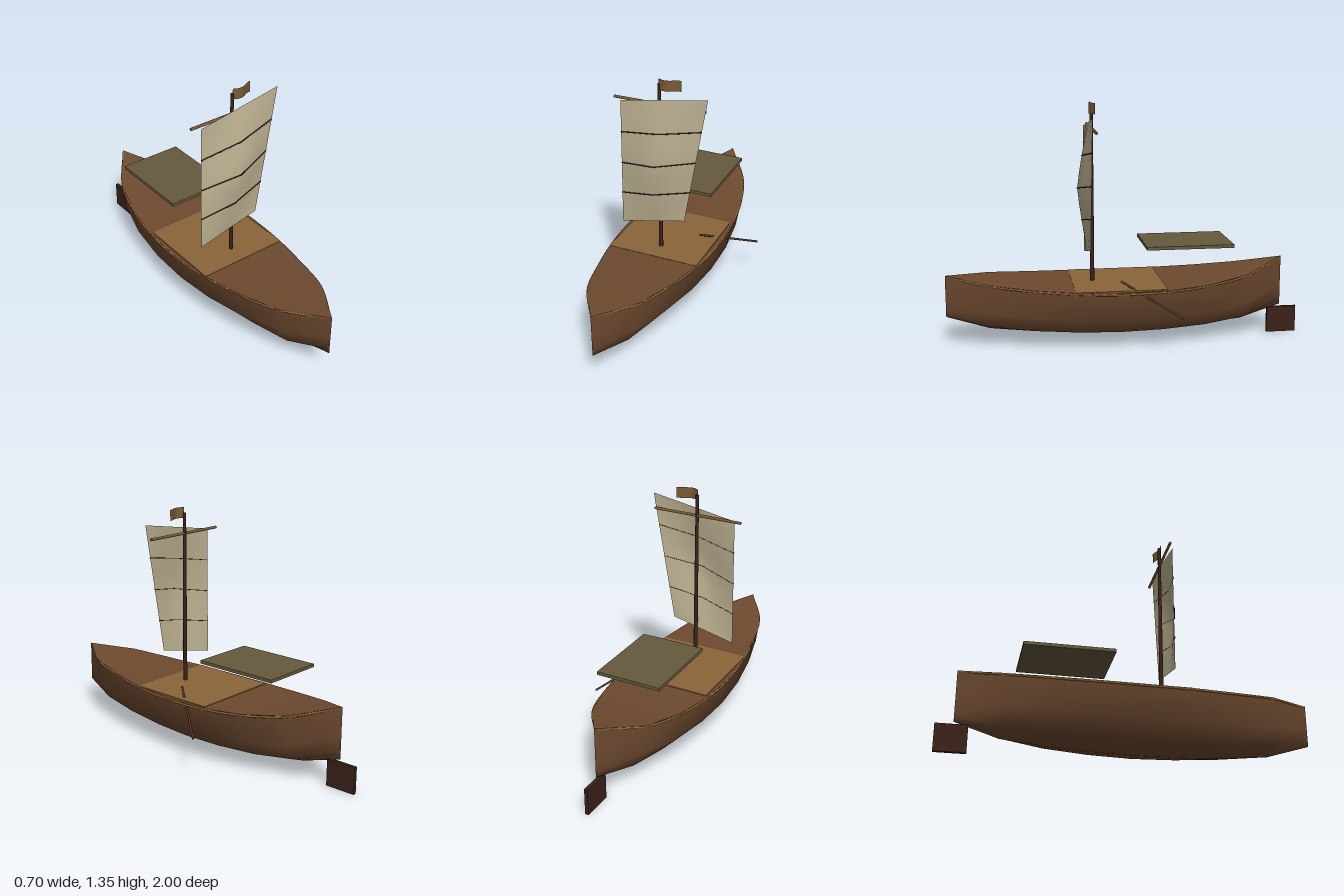
import * as THREE from 'three';

const mat = (color, side = THREE.FrontSide) => new THREE.MeshStandardMaterial({ color, side });
const V = (x, y, z) => new THREE.Vector3(x, y, z);

// Smooth grid surface from rows of points
function loft(rows) {
  const n = rows[0].length, index = [];
  for (let i = 0; i < rows.length - 1; i++) {
    for (let j = 0; j < n - 1; j++) {
      const a = i * n + j, b = a + n;
      index.push(a, b, a + 1, b, b + 1, a + 1);
    }
  }
  const g = new THREE.BufferGeometry().setFromPoints(rows.flat());
  g.setIndex(index);
  g.computeVertexNormals();
  return g;
}

// Round pole between two points
function pole(a, b, rBottom, rTop = rBottom, sides = 8) {
  const dir = b.clone().sub(a);
  const g = new THREE.CylinderGeometry(rTop, rBottom, dir.length(), sides);
  g.applyQuaternion(new THREE.Quaternion().setFromUnitVectors(V(0, 1, 0), dir.normalize()));
  const mid = a.clone().add(b).multiplyScalar(0.5);
  return g.translate(mid.x, mid.y, mid.z);
}

function box(w, h, d, x, y, z) {
  return new THREE.BoxGeometry(w, h, d).translate(x, y, z);
}

export function createModel() {
  const model = new THREE.Group();
  model.name = 'sailingBoat';
  const boat = new THREE.Group();
  boat.name = 'boat';
  boat.position.x = -0.065; // the oar reaches out to the left side
  model.add(boat);

  const add = (name, geometry, material, parent = boat) => {
    const mesh = new THREE.Mesh(geometry, material);
    mesh.name = name;
    parent.add(mesh);
    return mesh;
  };

  const hullMat = mat(0x6e4a30, THREE.DoubleSide);
  const plankMat = mat(0x8b6539);
  const darkMat = mat(0x3a2219);
  const sailMat = mat(0xbfb393, THREE.DoubleSide);
  const roofMat = mat(0x665a3e);
  const flagMat = mat(0x7a5c34, THREE.DoubleSide);

  // Hull stations from bow to stern: z, half width, rim height, keel height
  const stations = [
    [1.0, 0.0, 0.4, 0.165], [0.76, 0.153, 0.375, 0.09],
    [0.52, 0.22, 0.355, 0.065], [0.28, 0.265, 0.343, 0.053],
    [0.045, 0.283, 0.337, 0.048], [-0.195, 0.275, 0.341, 0.053],
    [-0.435, 0.238, 0.356, 0.065], [-0.672, 0.162, 0.387, 0.09],
    [-0.905, 0.0, 0.45, 0.165],
  ];
  // Cross-section: fraction of half width, fraction of height
  const half = [[1, 1], [0.87, 0.425], [0.51, 0.11]];
  const section = [...half, [0, 0], ...half.map(([x, y]) => [-x, y]).reverse()];
  add('hull', loft(stations.map(([z, w, top, keel]) =>
    section.map(([x, y]) => V(x * w, keel + y * (top - keel), z)))), hullMat);

  // Closed deck at rim height
  add('deck', loft(stations.map(([z, w, top]) =>
    [V(-w, top, z), V(0, top, z), V(w, top, z)])), hullMat);
  add('deckPlanks', box(0.52, 0.02, 0.5, 0, 0.336, 0.05), plankMat);

  // Slim rails following the rim
  for (const s of [-1, 1]) {
    const rim = new THREE.CatmullRomCurve3(stations.map(([z, w, top]) => V(s * w * 0.99, top - 0.007, z * 0.99)));
    add(s > 0 ? 'leftRail' : 'rightRail', new THREE.TubeGeometry(rim, 40, 0.006, 6), plankMat);
  }

  // Rudder below the stern
  add('rudder', box(0.02, 0.15, 0.17, 0, 0.075, -0.915), darkMat);

  // Flat roof over the aft deck
  add('roof', box(0.365, 0.018, 0.488, -0.003, 0.556, -0.342), roofMat);

  // Mast and yard
  add('mast', pole(V(0, 0.3, 0.185), V(0, 1.315, 0.185), 0.012, 0.009, 10), darkMat);
  add('yard', pole(V(-0.26, 1.2, 0.185), V(0.26, 1.2, 0.185), 0.008), flagMat);

  // Four-cornered sail, bulging forwards towards its middle
  const corners = { bl: V(-0.22, 0.465, 0), br: V(0.15, 0.548, 0), tl: V(-0.213, 1.195, 0), tr: V(0.28, 1.278, 0) };
  const sailPoint = (u, v, lift = 0) => {
    const p = corners.bl.clone().lerp(corners.br, u).lerp(corners.tl.clone().lerp(corners.tr, u), v);
    const bulge = (1 - Math.abs(2 * u - 1)) * (1 - Math.pow(Math.abs(2 * v - 1), 1.2));
    p.z = 0.208 + 0.057 * bulge + lift;
    return p;
  };
  const rows = [];
  for (let i = 0; i <= 8; i++) {
    rows.push([0, 0.25, 0.5, 0.75, 1].map(u => sailPoint(u, 1 - i / 8)));
  }
  add('sail', loft(rows), sailMat);

  // Battens across the sail
  const battens = new THREE.Group();
  battens.name = 'battens';
  boat.add(battens);
  for (const v of [0.25, 0.5, 0.75]) {
    for (const u of [0, 0.5]) {
      add('batten', pole(sailPoint(u, v, 0.002), sailPoint(u + 0.5, v, 0.002), 0.003, 0.003, 6), darkMat, battens);
    }
  }

  // Waving flag at the masthead
  const flag = new THREE.PlaneGeometry(0.122, 0.06, 10, 1).translate(0.061, 1.315, 0.19);
  const p = flag.attributes.position;
  for (let i = 0; i < p.count; i++) {
    p.setZ(i, p.getZ(i) + 0.014 * Math.sin(p.getX(i) / 0.122 * Math.PI * 1.5));
  }
  flag.computeVertexNormals();
  add('flag', flag, flagMat);

  // Oar reaching over the left side
  add('oar', pole(V(0.408, 0.222, -0.255), V(0.174, 0.378, 0.045), 0.006), mat(0x5c3d26));

  return model;
}
